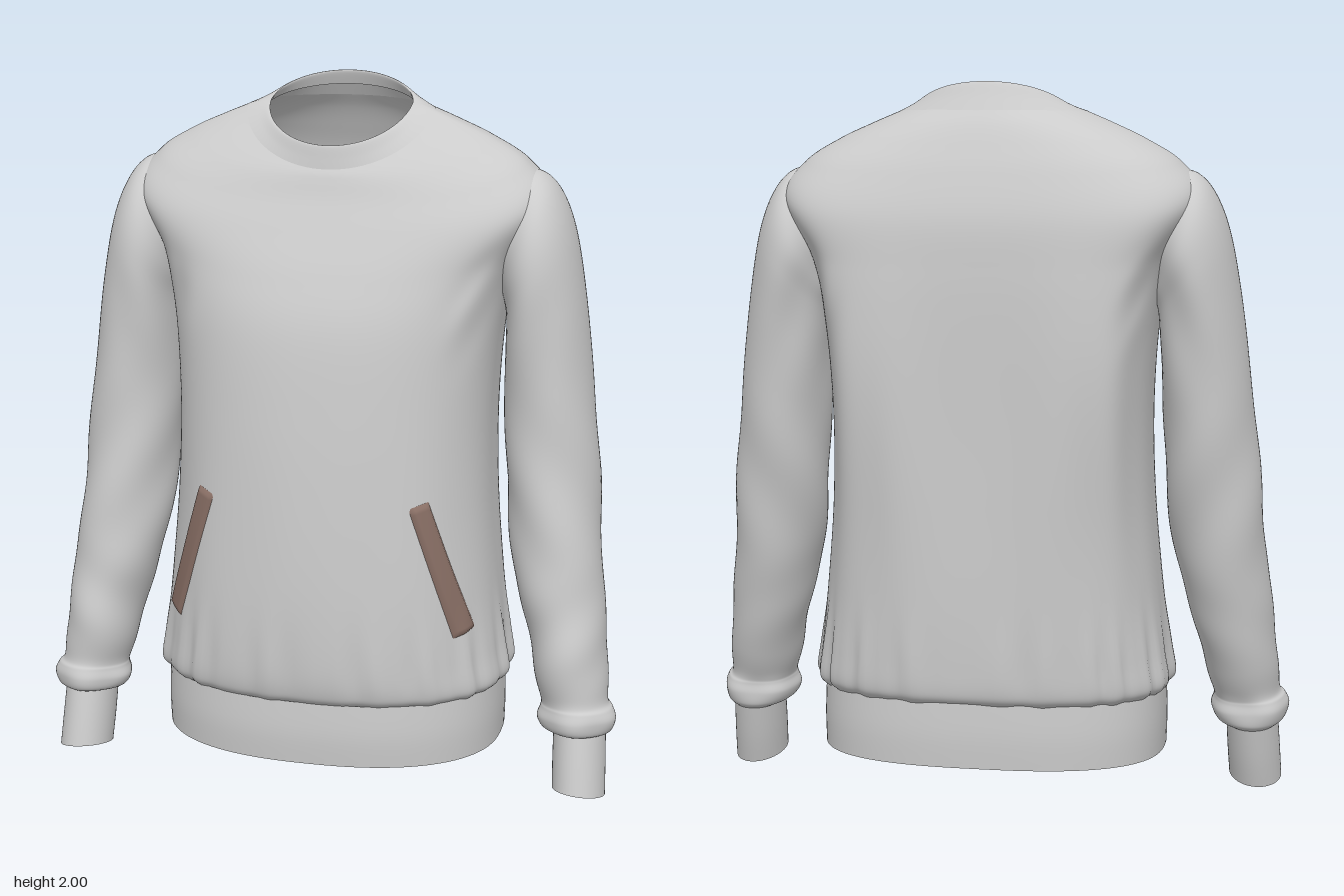
import * as THREE from 'three';

const cloth = new THREE.MeshStandardMaterial({ color: 0xcccccc, side: THREE.DoubleSide });
const trim = new THREE.MeshStandardMaterial({ color: 0x8a7066, side: THREE.DoubleSide });
const TAU = Math.PI * 2;
const { sin, cos, abs, sign, pow, exp } = Math;
const bell = (x, c, w) => exp(-(((x - c) / w) ** 2));

// Smooth interpolation through rows of numbers, v in 0..1
function sample(rows, v) {
  const f = v * (rows.length - 1), i = Math.min(Math.floor(f), rows.length - 2), t = f - i;
  const r = k => rows[Math.max(0, Math.min(rows.length - 1, k))];
  return rows[0].map((_, c) => {
    const p0 = r(i - 1)[c], p1 = r(i)[c], p2 = r(i + 1)[c], p3 = r(i + 2)[c];
    const m1 = (p2 - p0) / 2, m2 = (p3 - p1) / 2, d = p2 - p1;
    return p1 + t * (m1 + t * (3 * d - 2 * m1 - m2 + t * (m1 + m2 - 2 * d)));
  });
}

// Surface from point(u, v); u runs round the ring, v runs up
function loft(name, point, nu, nv, { closed = true, flip = false, material = cloth } = {}) {
  const pos = [], index = [], cols = closed ? nu : nu + 1;
  for (let j = 0; j <= nv; j++)
    for (let i = 0; i < cols; i++) pos.push(...point(i / nu, j / nv));
  for (let j = 0; j < nv; j++)
    for (let i = 0; i < nu; i++) {
      const a = j * cols + i, b = j * cols + (i + 1) % cols, c = a + cols, d = b + cols;
      if (flip) index.push(a, b, c, b, d, c);
      else index.push(a, c, b, b, c, d);
    }
  const g = new THREE.BufferGeometry();
  g.setAttribute('position', new THREE.Float32BufferAttribute(pos, 3));
  g.setIndex(index);
  g.computeVertexNormals();
  const mesh = new THREE.Mesh(g, material);
  mesh.name = name;
  return mesh;
}

// Torso ring: half width, side y, front y, back y, side z, front z, back z, front and back roundness
function torsoRing([w, ys, yf, yb, zc, zf, zb, ef, eb], a) {
  const c = cos(a), s = sin(a), e = s > 0 ? ef : eb;
  return [
    w * sign(c) * pow(abs(c), e),
    ys + ((s > 0 ? yf : yb) - ys) * pow(abs(s), 1.15),
    zc + ((s > 0 ? zf : zb) - zc) * pow(abs(s), e),
  ];
}

const torsoRows = [
  [.485, .30, .30, .30, 0, .35, -.345, .85, .75],
  [.508, .33, .33, .33, 0, .375, -.365, .87, .75],
  [.495, .42, .42, .42, 0, .388, -.372, .88, .73],
  [.472, .60, .60, .60, 0, .388, -.374, .88, .70],
  [.450, .85, .85, .85, 0, .373, -.372, .88, .66],
  [.445, 1.10, 1.10, 1.10, -.01, .35, -.368, .87, .63],
  [.462, 1.34, 1.34, 1.34, -.03, .315, -.365, .84, .62],
  [.500, 1.53, 1.49, 1.49, -.05, .265, -.36, .80, .64],
  [.580, 1.69, 1.61, 1.63, -.06, .21, -.348, .80, .68],
  [.525, 1.782, 1.69, 1.75, -.06, .172, -.312, .85, .74],
  [.430, 1.843, 1.74, 1.83, -.06, .153, -.278, .90, .82],
  [.340, 1.885, 1.76, 1.885, -.05, .145, -.25, .95, .9],
  [.262, 1.918, 1.775, 1.925, -.045, .136, -.222, 1, 1],
];

// Torso with gathers above the hem, soft vertical back folds and shoulder blades
function torsoPoint(a, v) {
  const p = torsoRing(sample(torsoRows, v), a), y = p[1], s = sin(a);
  const gather = bell(y, .38, .13) * (.010 * sin(23 * a + 1.2 * sin(3 * a)) + .006 * sin(37 * a));
  const drape = s < 0 ? .014 * s * sin(11 * a) * bell(y, .95, .45) : .006 * s * sin(9 * a) * bell(y, .7, .3);
  const k = 1 + gather + drape;
  const blade = s < 0 ? .05 * sin(2 * a) ** 2 * bell(y, 1.2, .42) : 0;
  const armpit = .008 * bell(y, 1.42, .12) * bell(abs(cos(a)), .85, .12) * sin(20 * y + 8 * a);
  return [p[0] * k, y, p[2] * k - blade + armpit];
}

// Straight stack of torso rings, used for the hem band and collar
const band = (name, rows, nv) =>
  loft(name, (u, v) => torsoRing(sample(rows, v), u * TAU), 96, nv);

// Sleeve ring: outer x, outer y, inner x, inner y, front z, back z, front-to-back tilt
const sleeveRows = [
  [.800, .185, .660, .185, .165, -.02, .01],
  [.822, .20, .625, .20, .195, -.035, .01],
  [.832, .235, .610, .23, .202, -.04, .01],
  [.822, .262, .618, .26, .195, -.035, .01],
  [.806, .285, .618, .28, .187, -.038, .01],
  [.802, .37, .597, .35, .190, -.07, .01],
  [.785, .53, .560, .50, .175, -.115, .01],
  [.765, .73, .512, .69, .150, -.155, .01],
  [.745, .96, .488, .89, .125, -.19, 0],
  [.720, 1.20, .477, 1.10, .115, -.215, 0],
  [.692, 1.42, .472, 1.27, .120, -.235, 0],
  [.660, 1.59, .470, 1.36, .122, -.25, 0],
  [.620, 1.695, .460, 1.41, .112, -.25, 0],
  [.570, 1.752, .450, 1.45, .085, -.225, 0],
  [.500, 1.770, .420, 1.50, .040, -.18, 0],
];
const cuffRows = [
  [.812, .012, .662, .026, .218, .03, .02],
  [.808, .10, .658, .11, .197, .005, .02],
  [.802, .215, .655, .22, .168, -.022, .02],
];

function sleeveRing([xo, yo, xi, yi, zf, zb, tilt], a) {
  const t = (1 + cos(a)) / 2, s = sin(a);
  return [xi + (xo - xi) * t, yi + (yo - yi) * t + tilt * s, (zf + zb) / 2 + (zf - zb) / 2 * s];
}

function sleevePoint(a, v) {
  const r = sample(sleeveRows, v), p = sleeveRing(r, a), y = p[1];
  const cx = (r[0] + r[2]) / 2, cz = (r[4] + r[5]) / 2;
  // slanting creases at the elbow, wrist and armpit
  const k = 1 + .045 * bell(y, .45, .16) * sin(26 * y + 2 * a) * (.6 + .4 * cos(a - 2))
    + .035 * bell(y, .85, .25) * sin(15 * y - 3 * a)
    + .05 * bell(y, 1.35, .2) * sin(4 * a + 9 * y) * (1 - cos(a)) / 2
    + .03 * bell(y, .23, .04) * sin(5 * a);
  return [cx + (p[0] - cx) * k, y, cz + (p[2] - cz) * k];
}

// Point of the lower torso in front at a given x and y
function torsoFrontAt(x, y, lift) {
  let lo = 0, hi = .55;
  for (let i = 0; i < 30; i++) {
    const m = (lo + hi) / 2;
    if (sample(torsoRows, m)[1] < y) lo = m; else hi = m;
  }
  const r = sample(torsoRows, lo);
  const c = sign(x) * pow(Math.min(1, abs(x) / r[0]), 1 / r[7]);
  const p = torsoPoint(Math.acos(c), lo);
  return [p[0] * (1 + lift), p[1], p[2] * (1 + lift)];
}

export function createModel() {
  const model = new THREE.Group();
  model.name = 'sweatshirt';

  model.add(loft('torso', (u, v) => torsoPoint(u * TAU, v), 160, 120));

  model.add(band('hemBand', [
    [.488, .122, .122, .122, 0, .357, -.35, .85, .75],
    [.490, .21, .21, .21, 0, .362, -.353, .85, .75],
    [.487, .305, .305, .305, 0, .356, -.348, .85, .75],
  ], 8));

  // Collar rises to a slanted rim, then folds inside
  model.add(band('collar', [
    [.264, 1.918, 1.774, 1.924, -.045, .138, -.224, 1, 1],
    [.232, 1.928, 1.80, 1.962, -.047, .134, -.203, 1, 1],
    [.207, 1.932, 1.835, 1.998, -.05, .128, -.184, 1, 1],
    [.200, 1.930, 1.832, 1.995, -.05, .121, -.178, 1, 1],
    [.216, 1.912, 1.805, 1.96, -.047, .124, -.19, 1, 1],
  ], 24));

  for (const side of [1, -1]) {
    const label = side > 0 ? 'left' : 'right', flip = side < 0;
    const mirror = ([x, y, z]) => [x * side, y, z];
    model.add(loft(label + 'Sleeve', (u, v) => mirror(sleevePoint(u * TAU, v)), 64, 130, { flip }));
    model.add(loft(label + 'Cuff',
      (u, v) => mirror(sleeveRing(sample(cuffRows, v), u * TAU)), 48, 10, { flip }));

    // Slanted pocket welt lying on the torso
    model.add(loft(label + 'PocketWelt', (u, v) => {
      const x = .420 + (.299 - .420) * v + (.5 - u) * .05, y = .50 + .39 * v + (.5 - u) * .016;
      const edge = Math.min(u, 1 - u, v * 4, (1 - v) * 4);
      return torsoFrontAt(x * side, y, edge < .01 ? -.003 : .018);
    }, 8, 40, { closed: false, flip, material: trim }));
  }
  return model;
}
